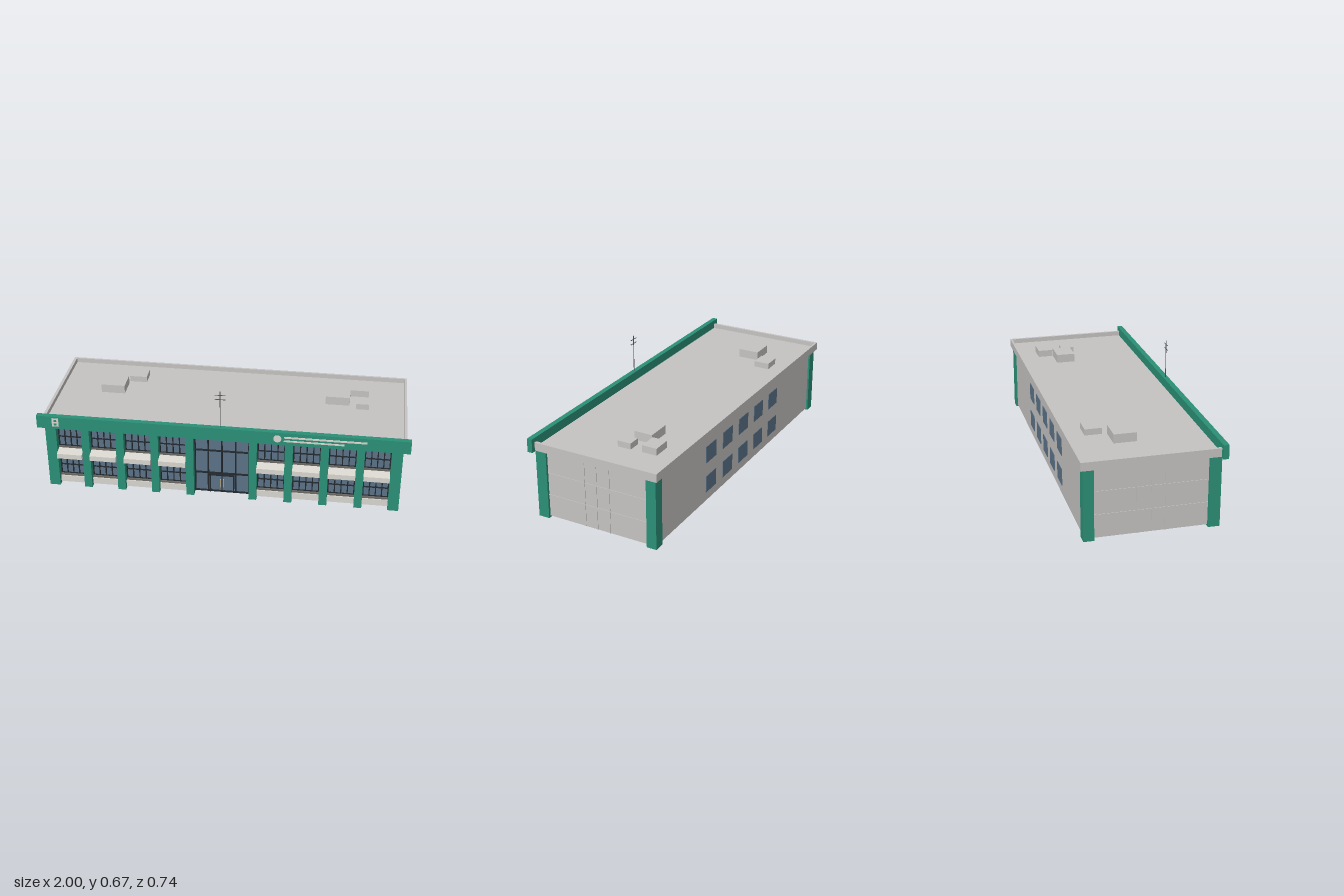
import * as THREE from 'three';

const mat = (name, color) => {
  const m = new THREE.MeshStandardMaterial({ color });
  m.name = name;
  return m;
};

export function createModel() {
  const green = mat('green cladding', 0x2b9077);
  const wall = mat('grey wall', 0xc5c3c1);
  const pale = mat('pale sill', 0xd9d6cf);
  const band = mat('shadow band', 0x6b6964);
  const glass = mat('blue glass', 0x5b7388);
  const frame = mat('dark frame', 0x23292f);
  const soffit = mat('dark lintel', 0x45484b);
  const metal = mat('aerial metal', 0x55585c);
  const brass = mat('door handle', 0xc8bb95);

  const root = new THREE.Group();
  root.name = 'officeBuilding';

  // Box given by its two opposite corners
  const box = (name, m, x0, x1, y0, y1, z0, z1, parent = root) => {
    const mesh = new THREE.Mesh(new THREE.BoxGeometry(x1 - x0, y1 - y0, z1 - z0), m);
    mesh.position.set((x0 + x1) / 2, (y0 + y1) / 2, (z0 + z1) / 2);
    mesh.name = name;
    parent.add(mesh);
    return mesh;
  };
  const group = (name) => {
    const g = new THREE.Group();
    g.name = name;
    root.add(g);
    return g;
  };

  // Main body and roof slab
  box('body', wall, -0.95, 0.95, 0.01, 0.384, -0.343, 0.295);
  box('roofSlab', wall, -0.965, 0.965, 0.383, 0.402, -0.355, 0.339);

  // Parapet around the sides and back
  const parapet = group('parapet');
  box('parapetBack', wall, -0.978, 0.978, 0.383, 0.428, -0.367, -0.355, parapet);
  for (const s of [-1, 1]) {
    const [a, b] = [s * 0.962, s * 0.978].sort((p, q) => p - q);
    box('parapetSide', wall, a, b, 0.383, 0.428, -0.355, 0.339, parapet);
  }

  // Green fascia along the front
  box('fascia', green, -1, 1, 0.378, 0.452, 0.337, 0.366);

  // Plain plates on the fascia
  const trim = group('fasciaTrim');
  const disc = new THREE.Mesh(new THREE.CylinderGeometry(0.021, 0.021, 0.004, 24), pale);
  disc.rotation.x = Math.PI / 2;
  disc.position.set(0.303, 0.416, 0.367);
  disc.name = 'fasciaDisc';
  trim.add(disc);
  box('longStripe', pale, 0.337, 0.772, 0.421, 0.431, 0.365, 0.369, trim);
  box('shortStripe', pale, 0.337, 0.655, 0.4, 0.409, 0.365, 0.369, trim);
  box('plaque', pale, -0.915, -0.878, 0.393, 0.443, 0.365, 0.368, trim);
  for (const y of [0.407, 0.429])
    box('plaqueInset', green, -0.904, -0.889, y - 0.006, y + 0.006, 0.367, 0.369, trim);

  // Columns along the front and at the back corners
  const columns = group('columns');
  const columnSpans = [[0.15, 0.193], [0.342, 0.385], [0.532, 0.576], [0.722, 0.765], [0.904, 0.963]];
  for (const s of [-1, 1]) {
    for (const [a, b] of columnSpans) {
      box('frontColumn', green, s > 0 ? a : -b, s > 0 ? b : -a, 0, 0.383, 0.284, 0.345, columns);
    }
    box('backColumn', green, s > 0 ? 0.904 : -0.963, s > 0 ? 0.963 : -0.904, 0, 0.383, -0.353, -0.298, columns);
  }

  // Glazed panel with a grid of glazing bars
  const glazing = (name, x0, x1, y0, y1, cols, rows, t) => {
    const g = group(name);
    box('pane', glass, x0, x1, y0, y1, 0.294, 0.302, g);
    for (let i = 0; i <= cols; i++) {
      const x = x0 + t / 2 + ((x1 - x0 - t) * i) / cols;
      box('mullion', frame, x - t / 2, x + t / 2, y0, y1, 0.3, 0.308, g);
    }
    for (let j = 0; j <= rows; j++) {
      const y = y0 + t / 2 + ((y1 - y0 - t) * j) / rows;
      box('transom', frame, x0, x1, y - t / 2, y + t / 2, 0.3, 0.307, g);
    }
  };

  // Sloped ledge profile, extruded across each bay
  const ledgeShape = new THREE.Shape([
    [0.295, 0.178], [0.345, 0.183], [0.366, 0.188], [0.366, 0.217], [0.345, 0.221], [0.295, 0.23],
  ].map(([z, y]) => new THREE.Vector2(z, y)));

  // Eight window bays between the columns
  for (const s of [-1, 1]) {
    for (let i = 0; i < 4; i++) {
      const a = columnSpans[i][1], b = columnSpans[i + 1][0];
      const x0 = s > 0 ? a : -b, x1 = s > 0 ? b : -a;
      box('lintel', soffit, x0, x1, 0.352, 0.383, 0.294, 0.312);
      glazing('upperWindow', x0, x1, 0.236, 0.354, 4, 2, 0.006);
      box('spandrel', band, x0, x1, 0.172, 0.238, 0.294, 0.312);
      glazing('lowerWindow', x0, x1, 0.056, 0.174, 4, 2, 0.006);
      box('windowBase', pale, x0, x1, 0.01, 0.048, 0.294, 0.322);
      box('windowSill', band, x0, x1, 0.048, 0.058, 0.294, 0.316);

      const geo = new THREE.ExtrudeGeometry(ledgeShape, { depth: x1 - x0, bevelEnabled: false });
      geo.rotateY(-Math.PI / 2);
      const ledge = new THREE.Mesh(geo, pale);
      ledge.position.x = x1;
      ledge.name = 'bayLedge';
      root.add(ledge);
    }
  }

  // Glazed entrance with double door
  const entrance = group('entrance');
  box('entranceGlass', glass, -0.15, 0.15, 0.01, 0.383, 0.294, 0.302, entrance);
  for (const x of [-0.147, -0.075, 0.075, 0.147])
    box('entranceMullion', frame, x - 0.004, x + 0.004, 0.01, 0.383, 0.3, 0.31, entrance);
  box('centreMullion', frame, -0.004, 0.004, 0.128, 0.383, 0.3, 0.31, entrance);
  for (const y of [0.014, 0.131, 0.274, 0.353, 0.379])
    box('entranceTransom', frame, -0.15, 0.15, y - 0.004, y + 0.004, 0.3, 0.309, entrance);
  for (const x of [-0.064, 0, 0.064])
    box('doorStile', frame, x - 0.003, x + 0.003, 0.01, 0.122, 0.3, 0.312, entrance);
  box('doorHead', frame, -0.067, 0.067, 0.116, 0.123, 0.3, 0.312, entrance);
  for (const x of [-0.008, 0.008])
    box('doorHandle', brass, x - 0.002, x + 0.002, 0.045, 0.095, 0.308, 0.317, entrance);

  // Two rows of back windows
  const backWindows = group('backWindows');
  for (let i = -2; i <= 2; i++) {
    for (const y of [0.06, 0.232]) {
      const x = i * 0.19 - 0.005;
      box('backWindow', glass, x - 0.056, x + 0.056, y, y + 0.094, -0.346, -0.342, backWindows);
    }
  }

  // Raised panel joints on the side walls
  const joints = group('sideJoints');
  for (const s of [-1, 1]) {
    const x0 = s * 0.951 - 0.002, x1 = s * 0.951 + 0.002;
    for (const y of [0.133, 0.257])
      box('horizontalJoint', wall, x0, x1, y - 0.002, y + 0.002, -0.298, 0.284, joints);
    for (const z of [-0.08, -0.005, 0.065])
      box('verticalJoint', wall, x0, x1, 0.01, 0.383, z - 0.003, z + 0.003, joints);
  }

  // Rooftop units: x0, x1, z0, z1, top
  const units = group('rooftopUnits');
  for (const [x0, x1, z0, z1, top] of [
    [-0.733, -0.6, -0.142, -0.022, 0.45],
    [-0.6, -0.503, -0.258, -0.168, 0.435],
    [0.53, 0.663, -0.159, -0.055, 0.45],
    [0.663, 0.766, -0.245, -0.162, 0.44],
    [0.7, 0.77, -0.098, -0.022, 0.435],
  ]) box('rooftopUnit', wall, x0, x1, 0.4, top, z0, z1, units);

  // Aerial mast with crossbars
  const aerial = group('aerial');
  const mast = new THREE.Mesh(new THREE.CylinderGeometry(0.002, 0.002, 0.217, 8), metal);
  mast.position.set(-0.002, 0.5585, 0.351);
  mast.name = 'mast';
  aerial.add(mast);
  for (const [y, r] of [[0.645, 0.028], [0.62, 0.028]])
    box('crossbar', metal, -0.002 - r, -0.002 + r, y - 0.0015, y + 0.0015, 0.3495, 0.3525, aerial);

  return root;
}
